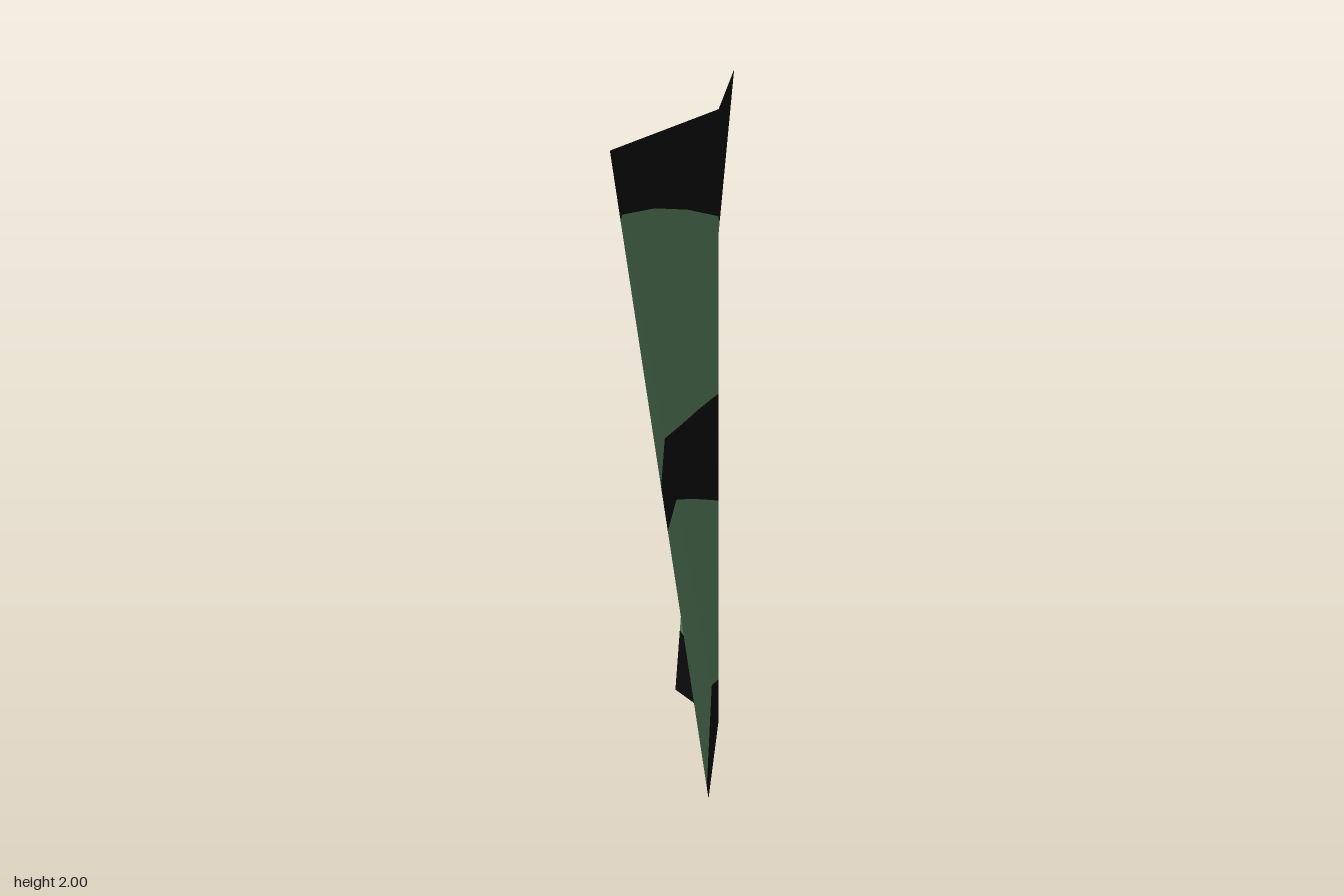
import * as THREE from 'three';

const green = new THREE.MeshStandardMaterial({ name: 'moss green', color: 0x547a58, side: THREE.DoubleSide });
const black = new THREE.MeshStandardMaterial({ name: 'black', color: 0x0b0b0b, side: THREE.DoubleSide });

const v = (x, y, z) => new THREE.Vector3(x, y, z);

// Corners of the folded sheet: two outer edges and the spine
const leftBottom = v(-0.096, 0, 0.22), leftTop = v(-0.23, 2, -0.049);
const spineBottom = v(0.104, 0, -0.049), spineTop = v(0.104, 2, -0.049);
const rightBottom = v(0.08, 0, -0.222), rightTop = v(0.229, 2, -0.172);

// Point at height y on an edge or crease
const on = (a, b) => (y) => a.clone().lerp(b, y / 2);
const leftEdge = on(leftBottom, leftTop);
const leftCrease = on(spineBottom, leftTop);
const spine = on(spineBottom, spineTop);
const rightCrease = on(rightBottom, spineTop);
const rightEdge = on(rightBottom, rightTop);
const between = (a, b, t) => (y) => a(y).lerp(b(y), t);

// Each column: its line on the sheet and the heights where the colour changes
const leftColumns = [
  [leftEdge, [0, 0.035, 0.825, 0.96, 1.78, 2]],
  [leftCrease, [0, 0.125, 0.775, 0.99, 1.775, 2]],
  [between(leftCrease, spine, 1 / 3), [0, 0.128, 0.76, 1.015, 1.755, 2]],
  [between(leftCrease, spine, 2 / 3), [0, 0.131, 0.74, 1.045, 1.71, 2]],
  [spine, [0, 0.135, 0.72, 1.07, 1.65, 2]],
];
const rightColumns = [
  [spine, [0, 0.135, 0.72, 1.07, 1.65, 2]],
  [between(spine, rightCrease, 0.5), [0, 0.16, 0.695, 1.085, 1.645, 2]],
  [rightCrease, [0, 0.205, 0.645, 1.12, 1.635, 2]],
  [rightEdge, [0, 0.225, 0.61, 1.19, 1.515, 2]],
];

// One colour band across a wing, flat shaded
function band(columns, row, name) {
  const points = [];
  for (let i = 0; i < columns.length - 1; i++) {
    const [lineA, a] = columns[i], [lineB, b] = columns[i + 1];
    const p = lineA(a[row]), q = lineB(b[row]);
    const r = lineB(b[row + 1]), s = lineA(a[row + 1]);
    for (const tri of [[p, q, r], [p, r, s]]) {
      const area = new THREE.Triangle(...tri).getArea();
      if (area > 1e-7) points.push(...tri);
    }
  }
  const geometry = new THREE.BufferGeometry().setFromPoints(points);
  geometry.computeVertexNormals();
  const mesh = new THREE.Mesh(geometry, row % 2 ? green : black);
  mesh.name = name;
  return mesh;
}

export function createModel() {
  const model = new THREE.Group();
  model.name = 'foldedBandedPanel';
  for (const [name, columns] of [['wideWing', leftColumns], ['narrowWing', rightColumns]]) {
    const wing = new THREE.Group();
    wing.name = name;
    for (let row = 0; row < 5; row++) wing.add(band(columns, row, `${name}Band${row + 1}`));
    model.add(wing);
  }
  return model;
}
